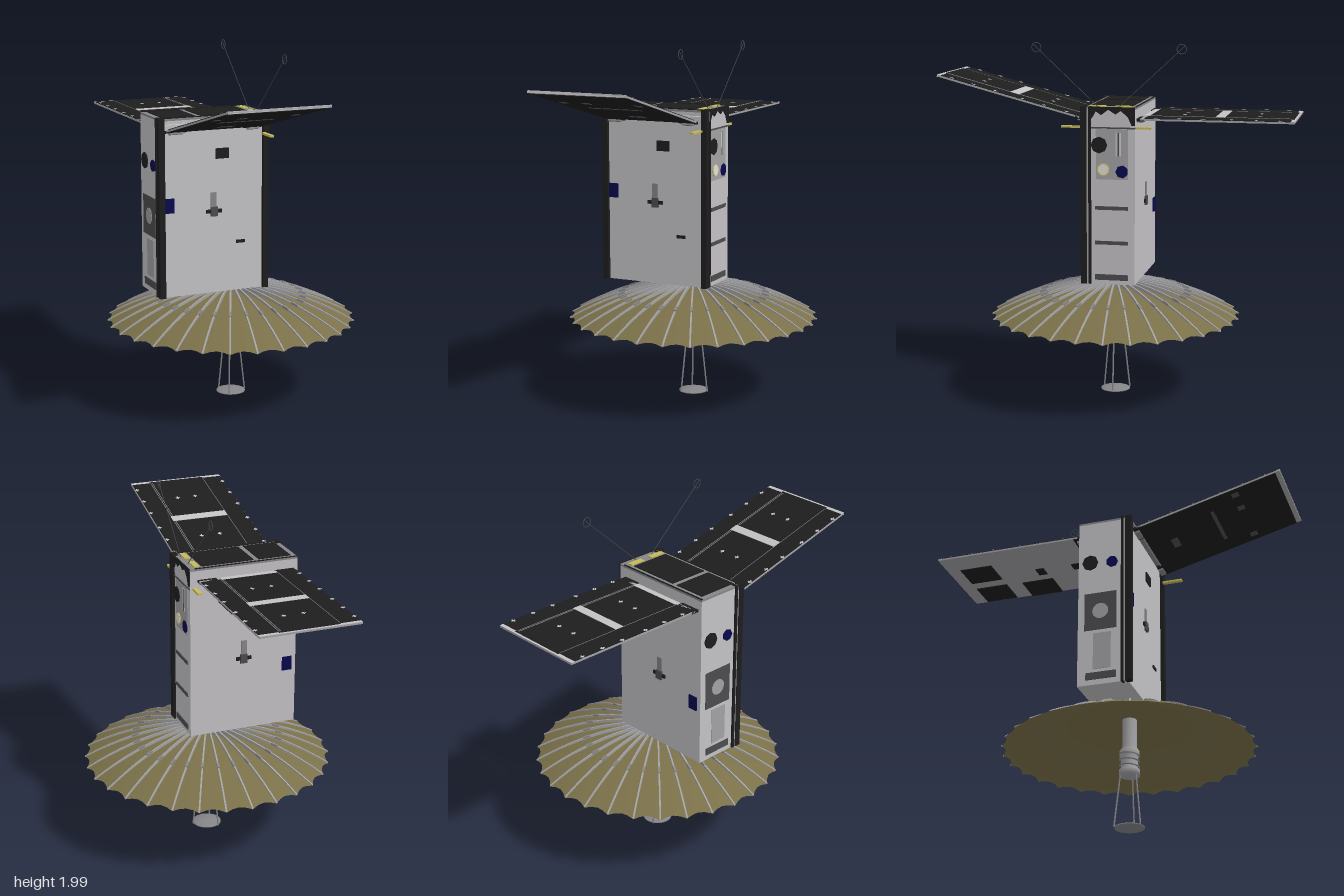
import * as THREE from 'three';

const mat = (name, color, side = THREE.FrontSide) =>
  Object.assign(new THREE.MeshStandardMaterial({ color, side }), { name });

export function createModel() {
  const M = {
    light: mat('light grey', 0xc3c1c4),
    silver: mat('silver', 0xa2a2a5),
    grey: mat('grey', 0x858588),
    dark: mat('dark grey', 0x4c4c4e),
    black: mat('black', 0x1d1d1d),
    olive: mat('olive mesh', 0x7a7049, THREE.DoubleSide),
    navy: mat('navy', 0x08084e),
    yellow: mat('yellow', 0xc4ba58),
    white: mat('white', 0xe0ded8),
  };
  const model = new THREE.Group();
  model.name = 'satellite';

  const add = (parent, name, geo, m) => {
    const mesh = new THREE.Mesh(geo, m);
    mesh.name = name;
    parent.add(mesh);
    return mesh;
  };
  const group = (name) => {
    const g = new THREE.Group();
    g.name = name;
    model.add(g);
    return g;
  };
  // box given by its two limits on each axis
  const box = (parent, name, m, x0, x1, y0, y1, z0, z1) => {
    const mesh = add(parent, name, new THREE.BoxGeometry(x1 - x0, y1 - y0, Math.abs(z1 - z0)), m);
    mesh.position.set((x0 + x1) / 2, (y0 + y1) / 2, (z0 + z1) / 2);
    return mesh;
  };
  const rod = (parent, name, m, a, b, r) => {
    const p = new THREE.Vector3(...a), d = new THREE.Vector3(...b).sub(p);
    const mesh = add(parent, name, new THREE.CylinderGeometry(r, r, d.length(), 8), m);
    mesh.position.copy(p).addScaledVector(d, 0.5);
    mesh.quaternion.setFromUnitVectors(new THREE.Vector3(0, 1, 0), d.normalize());
  };
  // thin disc on a side face, axis along x
  const disc = (parent, name, m, x, y, z, r, t, sides = 20) => {
    const mesh = add(parent, name, new THREE.CylinderGeometry(r, r, t, sides), m);
    mesh.rotation.z = Math.PI / 2;
    mesh.position.set(x, y, z);
  };
  const lathe = (profile, n) => new THREE.LatheGeometry(profile.map(([r, y]) => new THREE.Vector2(r, y)), n);

  // Body: core, front skin, corner rails
  const body = group('body');
  box(body, 'core', M.light, -0.48, 0.148, 0.65, 1.625, -0.138, 0.12);
  box(body, 'frontSkin', M.light, -0.456, 0.126, 0.65, 1.6, 0.12, 0.145);
  for (const [x0, x1] of [[-0.49, -0.456], [0.124, 0.157]]) {
    box(body, 'rail', M.black, x0, x1, 0.65, 1.64, 0.132, 0.166);
    box(body, 'railStrip', M.silver, x0 + 0.004, x1 - 0.004, 0.65, 1.63, 0.122, 0.132);
    box(body, 'innerRail', M.black, x0, x1, 0.65, 1.64, 0.107, 0.122);
  }

  // Roof: frame, cells and yellow antenna seats
  const roof = group('roof');
  box(roof, 'roofFrame', M.grey, -0.48, 0.15, 1.625, 1.636, -0.138, 0.155);
  box(roof, 'roofCells', M.black, -0.45, -0.262, 1.636, 1.64, -0.108, 0.125);
  box(roof, 'roofCells', M.black, -0.232, 0.07, 1.636, 1.64, -0.108, 0.125);
  for (const z of [-0.134, 0.145]) box(roof, 'roofEdge', M.black, -0.48, 0.12, 1.636, 1.64, z - 0.004, z + 0.004);
  for (const [z0, z1] of [[-0.11, -0.02], [0.035, 0.125]]) box(roof, 'antennaSeat', M.yellow, 0.083, 0.115, 1.636, 1.642, z0, z1);

  // Right and left side details
  const side = group('sideDetails');
  const zig = new THREE.Shape([[0.12, 1.64], [0.12, 1.56], [0.1, 1.58], [0.08, 1.615], [0.05, 1.595],
    [0.01, 1.625], [-0.03, 1.6], [-0.06, 1.62], [-0.1, 1.585], [-0.12, 1.54], [-0.138, 1.54], [-0.138, 1.64]]
    .map(([z, y]) => new THREE.Vector2(-z, y)));
  const zigPlate = add(side, 'zigzagTrim', new THREE.ExtrudeGeometry(zig, { depth: 0.006, bevelEnabled: false }), M.black);
  zigPlate.rotation.y = Math.PI / 2;
  zigPlate.position.x = 0.148;
  const X = 0.148;
  box(side, 'instrumentPlate', M.silver, X, X + 0.003, 1.24, 1.52, -0.1, 0.08);
  box(side, 'slotPlate', M.light, X, X + 0.005, 1.37, 1.5, -0.06, -0.03);
  box(side, 'slot', M.dark, X, X + 0.007, 1.37, 1.5, -0.05, -0.043);
  disc(side, 'blackSensor', M.black, X + 0.003, 1.43, 0.062, 0.046, 0.009, 8);
  disc(side, 'sensorRim', M.yellow, X + 0.002, 1.295, 0.038, 0.036, 0.009);
  disc(side, 'sensorLens', M.white, X + 0.004, 1.295, 0.038, 0.03, 0.009);
  disc(side, 'blueSensor', M.navy, X + 0.003, 1.285, -0.066, 0.036, 0.009, 7);
  for (const [y, h] of [[1.08, 0.02], [0.885, 0.02], [0.69, 0.032]])
    box(side, 'sideSlot', M.dark, X, X + 0.005, y - h / 2, y + h / 2, -0.1, 0.085);
  const W = -0.48;
  box(side, 'leftPlate', M.dark, W - 0.004, W, 0.97, 1.19, -0.1, 0.08);
  disc(side, 'leftPort', M.silver, W - 0.002, 1.08, -0.01, 0.045, 0.008);
  box(side, 'leftLowerPlate', M.silver, W - 0.003, W, 0.74, 0.95, -0.05, 0.05);
  box(side, 'leftLowerSlot', M.dark, W - 0.005, W, 0.68, 0.72, -0.09, 0.08);
  disc(side, 'leftBlueSensor', M.navy, W - 0.003, 1.37, 0.055, 0.033, 0.009, 7);
  disc(side, 'leftBlackSensor', M.black, W - 0.003, 1.38, -0.07, 0.045, 0.009, 8);

  // Details on the two broad faces
  for (const [s, z, arm, blue] of [[1, 0.145, 1.1, 1.12], [-1, -0.138, 1.07, 0.97]]) {
    const face = group(s > 0 ? 'frontDetails' : 'backDetails');
    box(face, 'blueSensor', M.navy, -0.455, -0.398, blue, blue + 0.08, z, z + s * 0.008);
    box(face, 'thrusterArm', M.grey, -0.183, -0.15, arm, arm + 0.115, z, z + s * 0.006);
    box(face, 'thrusterBar', M.black, -0.21, -0.12, arm, arm + 0.02, z, z + s * 0.008);
    box(face, 'thrusterTip', M.dark, -0.185, -0.145, arm - 0.018, arm + 0.035, z, z + s * 0.012);
    if (s > 0) {
      box(face, 'blackWindow', M.black, -0.155, -0.078, 1.4, 1.457, z, z + 0.007);
      box(face, 'smallSlot', M.black, -0.032, 0.02, 0.918, 0.935, z, z + 0.006);
    }
  }

  // Solar wings; s gives the direction along z, strip the start of the middle gap
  const wing = (name, s, y, z, tilt, L, strip) => {
    const g = group(name);
    g.position.set(0, y, z);
    g.rotation.x = tilt;
    const plate = (n, m, x0, x1, y0, y1, a, b) => box(g, n, m, x0, x1, y0, y1, s * a, s * b);
    plate('wingFrame', M.silver, -0.455, 0.105, -0.006, 0.004, 0.02, L);
    plate('wingEdge', M.light, -0.455, 0.105, 0.004, 0.006, L - 0.022, L);
    plate('edgeNotch', M.black, -0.34, -0.005, 0.004, 0.008, L - 0.024, L - 0.012);
    plate('solarCells', M.black, -0.452, 0.102, 0.004, 0.008, 0.045, L - 0.022);
    plate('middleStrip', M.light, -0.34, -0.005, 0.008, 0.01, L * strip, L * (strip + 0.06));
    plate('rootStrip', M.light, -0.34, -0.015, 0.004, 0.0095, 0.02, 0.052);
    for (const [a, b] of [[0.06, strip], [strip + 0.06, 0.97]]) {
      for (const [x, w] of [[-0.34, 0.0015], [-0.02, 0.002], [-0.01, 0.002]])
        plate('cellSeam', M.grey, x - w, x + w, 0.008, 0.009, L * a, L * b);
      const c = L * (a + b) / 2;
      const tabs = [[-0.225, c], [-0.115, c]];
      for (const x of [-0.445, 0.095]) for (const d of [-0.13, 0, 0.13]) tabs.push([x, c + d]);
      for (const [x, t] of tabs) {
        plate('cellTab', M.light, x - 0.012, x + 0.012, 0.008, 0.0092, t - 0.004, t + 0.004);
        plate('cellTab', M.light, x - 0.004, x + 0.004, 0.008, 0.0094, t - 0.012, t + 0.012);
      }
    }
    // hinges
    for (const [x0, x1] of [[-0.455, -0.34], [0, 0.105]]) {
      plate('hinge', M.black, x0, x1, -0.01, 0.004, 0, 0.045);
      plate('hingeBracket', M.grey, x0 + 0.02, x1 - 0.02, -0.02, -0.01, 0, 0.03);
    }
    return plate;
  };
  const Lf = 0.864, Lb = 0.862;
  const front = wing('frontWing', 1, 1.57, 0.163, -0.258, Lf, 0.473);
  front('undersideCells', M.black, -0.453, 0.103, -0.009, -0.006, 0.03, Lf - 0.03);
  front('wingTip', M.light, -0.455, 0.105, -0.008, 0.006, Lf - 0.006, Lf);
  for (const [x0, x1, c, h] of [[-0.33, -0.02, 0.5, 0.02], [-0.22, -0.13, 0.2, 0.04],
    [-0.42, -0.38, 0.68, 0.04], [0.02, 0.06, 0.68, 0.04], [-0.28, -0.24, 0.68, 0.04]])
    front('undersideStrip', M.dark, x0, x1, -0.011, -0.009, Lf * c - h / 2, Lf * c + h / 2);
  const back = wing('backWing', -1, 1.57, -0.138, 0, Lb, 0.485);
  for (const [x, w, c, h] of [[0.02, 0.17, 0.47, 0.19], [0.01, 0.17, 0.8, 0.19], [-0.23, 0.17, 0.8, 0.19],
    [-0.16, 0.07, 0.4, 0.05], [-0.16, 0.06, 0.15, 0.05]])
    back('undersidePatch', M.black, x - w / 2, x + w / 2, -0.011, -0.006, Lb * c - h / 2, Lb * c + h / 2);

  // Whip antennas with end rings, and the yellow blades
  const whips = group('antennas');
  for (const s of [1, -1]) {
    rod(whips, 'whip', M.dark, [0.125, 1.63, 0.015 + s * 0.05], [0.125, 1.94, 0.015 + s * 0.385], 0.0018);
    const ring = add(whips, 'whipRing', new THREE.TorusGeometry(0.026, 0.002, 6, 24), M.dark);
    ring.rotation.y = Math.PI / 2;
    ring.position.set(0.125, 1.957, 0.015 + s * 0.403);
    rod(whips, 'ringBar', M.dark, [0.125, 1.94, 0.015 + s * 0.385], [0.125, 1.975, 0.015 + s * 0.42], 0.0018);
  }
  box(whips, 'crossBar', M.dark, 0.14, 0.153, 1.521, 1.529, -0.138, 0.107);
  for (const [z0, z1] of [[0.166, 0.28], [-0.225, -0.138]]) box(whips, 'yellowBlade', M.yellow, 0.11, 0.134, 1.519, 1.53, z0, z1);

  // Umbrella dish: shallow bowl with a scalloped rim between thirty ribs
  const dish = group('dish');
  const dishY = (r) => 0.634 - 0.384 * r * r;
  const ribY = (r) => 0.653 - 0.41 * r * r;
  const profile = [];
  for (let i = 0; i <= 14; i++) profile.push([0.03 + 0.67 * i / 14, 0]);
  const bowl = lathe(profile, 120);
  const p = bowl.attributes.position;
  for (let i = 0; i < p.count; i++) {
    const x = p.getX(i), z = p.getZ(i), r = Math.hypot(x, z);
    const k = 1 - 0.033 * Math.abs(Math.cos(15 * Math.atan2(z, x))) * (r / 0.7) ** 4;
    p.setXYZ(i, x * k, dishY(r * k), z * k);
  }
  bowl.computeVertexNormals();
  add(dish, 'dishMesh', bowl, M.olive);

  // Ribs stand on the bowl and taper to the rim
  const top = [], bottom = [];
  for (let i = 0; i <= 10; i++) {
    const r = 0.06 + 0.064 * i;
    bottom.push(new THREE.Vector2(r, dishY(r) + 0.001));
    top.unshift(new THREE.Vector2(r, ribY(r)));
  }
  const ribGeo = new THREE.ExtrudeGeometry(new THREE.Shape([...bottom, ...top]), { depth: 0.009, bevelEnabled: false });
  ribGeo.translate(0, 0, -0.0045);
  for (let i = 0; i < 30; i++) {
    const rib = new THREE.Group();
    rib.name = 'rib';
    rib.rotation.y = (6 + 12 * i) * Math.PI / 180;
    add(rib, 'ribBlade', ribGeo, M.silver);
    const knuckle = box(rib, 'ribKnuckle', M.grey, 0.39, 0.43, ribY(0.41) - 0.008, ribY(0.41) + 0.003, -0.007, 0.007);
    knuckle.rotation.z = -0.32;
    dish.add(rib);
  }
  const hub = add(dish, 'hub', new THREE.CylinderGeometry(0.1, 0.1, 0.014, 30), M.grey);
  hub.position.y = 0.643;

  // Feed horn with a wound cable
  const feed = group('feed');
  add(feed, 'horn', lathe([[0, 0.3], [0.057, 0.305], [0.057, 0.34], [0.046, 0.345], [0.046, 0.41],
    [0.054, 0.42], [0.054, 0.45], [0.04, 0.47], [0.04, 0.64]], 24), M.silver);
  const coil = [];
  for (let i = 0; i <= 48; i++) {
    const a = i / 48 * Math.PI * 6;
    coil.push(new THREE.Vector3(0.053 * Math.cos(a), 0.345 + 0.1 * i / 48, 0.053 * Math.sin(a)));
  }
  add(feed, 'coil', new THREE.TubeGeometry(new THREE.CatmullRomCurve3(coil), 96, 0.005, 6), M.grey);

  // Small reflector below, held by three struts
  for (let i = 0; i < 3; i++) {
    const c = Math.cos(i * Math.PI * 2 / 3), s = Math.sin(i * Math.PI * 2 / 3);
    rod(feed, 'strut', M.grey, [0.048 * c, 0.34, 0.048 * s], [0.086 * c, 0.01, 0.086 * s], 0.0045);
  }
  add(feed, 'smallReflector', lathe([[0, 0], [0.06, 0.002], [0.082, 0.008], [0.082, 0.013], [0.05, 0.021], [0, 0.028]], 28), M.grey);

  return model;
}
